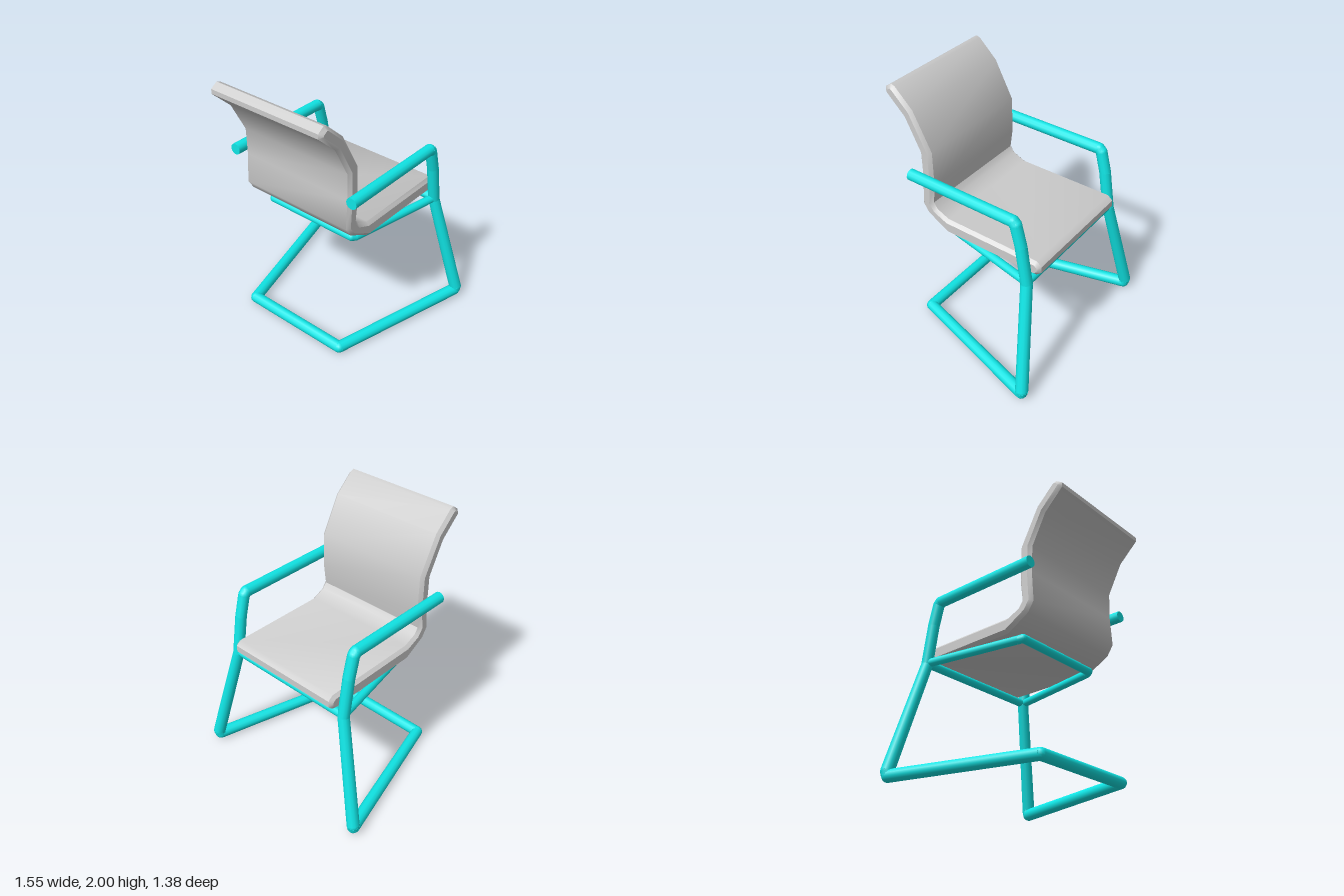
import * as THREE from 'three';
import { toCreasedNormals } from 'three/addons/utils/BufferGeometryUtils.js';

const grey = new THREE.MeshStandardMaterial({ color: 0xcccccc });
const cyan = new THREE.MeshStandardMaterial({ color: 0x10e5e5 });
const R = 0.043;

// Round bar between two points, optionally tapered
function bar(a, b, r0, r1 = r0) {
  const dir = new THREE.Vector3().subVectors(b, a);
  const mesh = new THREE.Mesh(new THREE.CylinderGeometry(r1, r0, dir.length(), 12), cyan);
  mesh.position.addVectors(a, b).multiplyScalar(0.5);
  mesh.quaternion.setFromUnitVectors(new THREE.Vector3(0, 1, 0), dir.normalize());
  return mesh;
}

// Bent tube: points are [x, y, z, radius], with a ball filling each inner bend
function bentTube(name, points) {
  const group = new THREE.Group();
  group.name = name;
  const v = points.map(p => new THREE.Vector3(p[0], p[1], p[2]));
  for (let i = 0; i < v.length; i++) {
    const r = points[i][3];
    if (i > 0) {
      const tube = bar(v[i - 1], v[i], points[i - 1][3], r);
      tube.name = name + 'Tube';
      group.add(tube);
    }
    if (i > 0 && i < v.length - 1) {
      const joint = new THREE.Mesh(new THREE.SphereGeometry(r, 12, 8), cyan);
      joint.position.copy(v[i]);
      joint.name = name + 'Bend';
      group.add(joint);
    }
  }
  return group;
}

// Padded shell: side profile (z, y) extruded across the width with chamfered rims
function seatShell() {
  const profile = [
    [-0.6, 0.98], [-0.56, 0.945], [0.2, 0.945], [0.38, 1.045], [0.43, 1.12],
    [0.415, 1.35], [0.42, 1.555], [0.54, 1.785], [0.695, 1.93], [0.695, 1.965],
    [0.645, 2], [0.615, 1.99], [0.47, 1.855], [0.32, 1.575], [0.315, 1.3],
    [0.333, 1.15], [0.3, 1.105], [0.2, 1.062], [-0.56, 1.062], [-0.6, 1.03],
  ];
  const shape = new THREE.Shape(profile.map(p => new THREE.Vector2(p[0], p[1])));
  const chamfer = 0.024, width = 0.964;
  const geo = new THREE.ExtrudeGeometry(shape, {
    depth: width - 2 * chamfer, bevelEnabled: true, bevelSegments: 1,
    bevelThickness: chamfer, bevelSize: chamfer, bevelOffset: -chamfer,
  });
  geo.translate(0, 0, chamfer - width / 2);
  geo.rotateY(-Math.PI / 2);
  const mesh = new THREE.Mesh(toCreasedNormals(geo, 0.72), grey);
  mesh.name = 'seatAndBackrest';
  return mesh;
}

export function createModel() {
  const model = new THREE.Group();
  model.name = 'armchair';
  model.add(seatShell());

  // Continuous frame half: armrest, leg, then floor runner to the middle of the floor bar
  const half = s => [
    [0.53 * s, 1.38, 0.465, R],
    [0.53 * s, 1.38, -0.415, R],
    [0.53 * s, 1.36, -0.437, R],
    [0.53 * s, 1.2, -0.48, R],
    [0.53 * s, 0.9, -0.53, R],
    [0.728 * s, 0.08, -0.642, 0.048],
    [0.725 * s, 0.046, -0.635, 0.046],
    [0.43 * s, R, 0.46, R],
    [0, R, 0.46, R],
  ];
  model.add(bentTube('leftFrame', half(1)), bentTube('rightFrame', half(-1)));

  // Support under the seat: U-shaped bar splayed out to the legs, and a cross bar
  const r = 0.031;
  model.add(bentTube('seatSupport', [
    [0.53, 0.912, -0.53, r], [0.385, 0.915, 0.23, r], [0.37, 0.922, 0.26, r],
    [-0.37, 0.922, 0.26, r], [-0.385, 0.915, 0.23, r], [-0.53, 0.912, -0.53, r],
  ]));
  model.add(bentTube('crossBar', [[-0.53, 0.912, -0.53, r], [0.53, 0.912, -0.53, r]]));
  return model;
}
